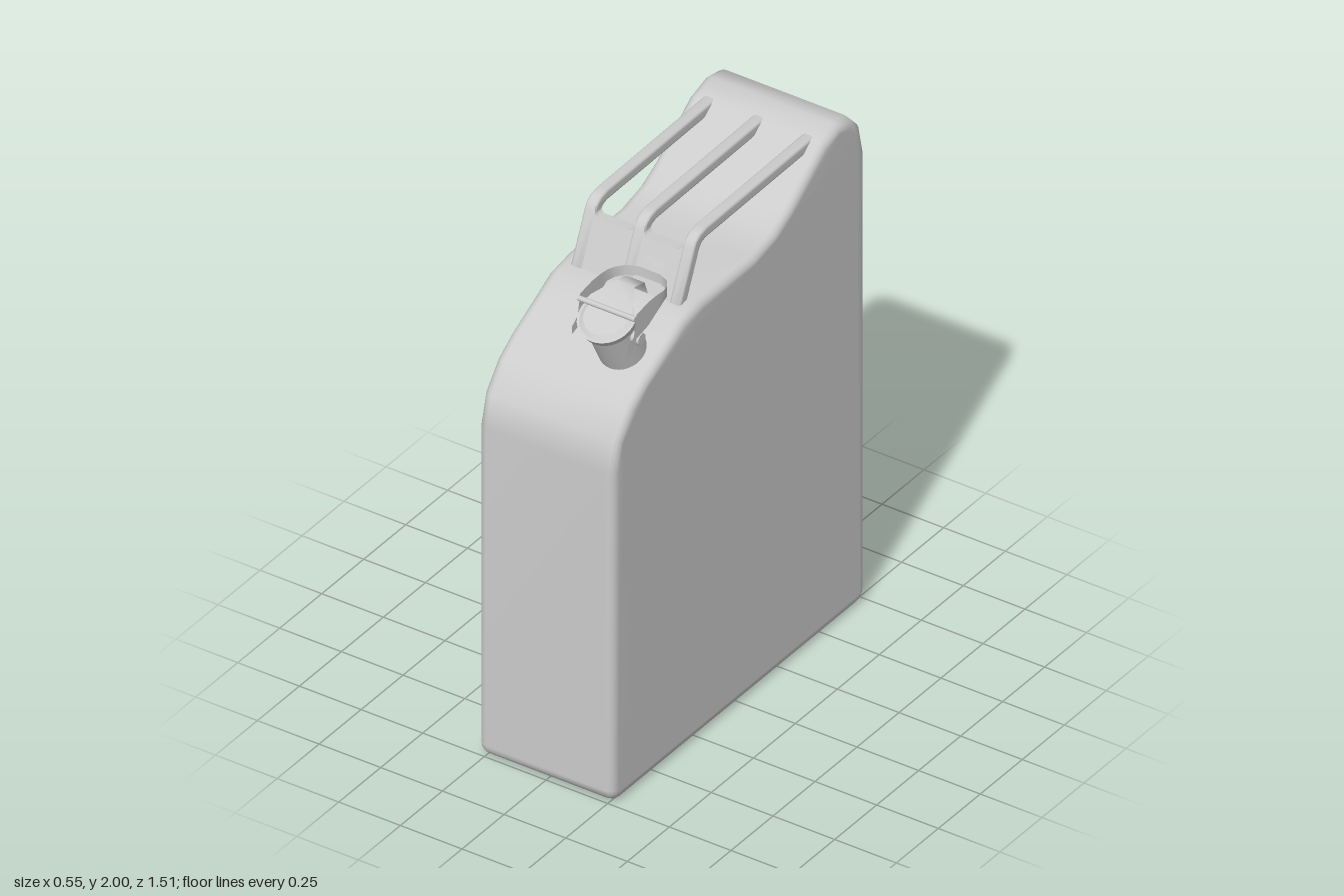
import * as THREE from 'three';
import { mergeVertices } from 'three/addons/utils/BufferGeometryUtils.js';

const material = new THREE.MeshStandardMaterial({ color: 0xcccccc });
const thin = new THREE.MeshStandardMaterial({ color: 0xcccccc, side: THREE.DoubleSide });

function add(parent, name, geometry, mat = material) {
  const mesh = new THREE.Mesh(geometry, mat);
  mesh.name = name;
  parent.add(mesh);
  return mesh;
}

// Side profile of [z, y] points, extruded across x with rounded edges and area-weighted smooth normals
function sideExtrude(points, width, bevel) {
  const shape = new THREE.Shape(points.map(([z, y]) => new THREE.Vector2(z, y)));
  const raw = new THREE.ExtrudeGeometry(shape, {
    depth: width - 2 * bevel, bevelEnabled: true, bevelThickness: bevel,
    bevelSize: bevel, bevelOffset: -bevel, bevelSegments: 4,
  });
  raw.translate(0, 0, bevel - width / 2).rotateY(-Math.PI / 2);
  raw.deleteAttribute('uv');
  raw.deleteAttribute('normal');
  const geometry = mergeVertices(raw, 1e-5);
  geometry.computeVertexNormals();
  return geometry;
}

// Thin sheet through pairs of [x, y, z] edge points
function sheet(pairs) {
  const geometry = new THREE.PlaneGeometry(1, 1, pairs.length - 1, 1);
  const pos = geometry.attributes.position;
  pairs.forEach(([a, b], i) => {
    pos.setXYZ(i, ...a);
    pos.setXYZ(i + pairs.length, ...b);
  });
  geometry.computeVertexNormals();
  return geometry;
}

function createBody(group) {
  const profile = [
    [0.755, 0.05], [0.755, 1.33], [0.725, 1.45], [0.645, 1.55], [0.56, 1.608],
    [0.42, 1.68], [0.33, 1.727], [0.22, 1.745], [-0.09, 1.75], [-0.21, 1.778],
    [-0.3, 1.825], [-0.5, 1.972], [-0.595, 2.0], [-0.675, 1.985], [-0.73, 1.925],
    [-0.755, 1.81], [-0.755, 0.05],
  ];
  // Rounded bottom corners
  const r = 0.05;
  for (const [z, start] of [[-0.705, Math.PI], [0.705, 1.5 * Math.PI]]) {
    for (let i = 0; i <= 4; i++) {
      const a = start + (i / 4) * (Math.PI / 2);
      if ((z < 0 && i === 0) || (z > 0 && i === 4)) continue;
      profile.push([z + r * Math.cos(a), r + r * Math.sin(a)]);
    }
  }
  add(group, 'body', sideExtrude(profile, 0.55, 0.035));
}

function createHandle(group) {
  const handle = new THREE.Group();
  handle.name = 'tripleHandle';
  const bar = [
    [0.283, 1.725], [0.2, 1.918], [0.185, 1.943], [0.16, 1.96], [0.12, 1.968], [-0.56, 1.978],
    [-0.56, 1.934], [0.125, 1.926], [0.147, 1.917], [0.16, 1.9], [0.238, 1.725],
  ];
  for (const x of [-0.2, 0, 0.2]) add(handle, 'handleBar', sideExtrude(bar, 0.045, 0.01)).position.x = x;

  // Sloping front plate with rounded notches between the bars
  const top = 1.935, notch = 1.903, r = 0.025;
  const s = new THREE.Shape();
  s.moveTo(-0.215, 1.725);
  s.lineTo(0.215, 1.725);
  s.lineTo(0.215, top);
  for (const [right, left] of [[0.18, 0.02], [-0.02, -0.18]]) {
    s.lineTo(right, top);
    s.lineTo(right, notch + r);
    s.quadraticCurveTo(right, notch, right - r, notch);
    s.lineTo(left + r, notch);
    s.quadraticCurveTo(left, notch, left, notch + r);
    s.lineTo(left, top);
  }
  s.lineTo(-0.215, top);
  const plate = new THREE.ExtrudeGeometry(s, { depth: 0.04, bevelEnabled: false, curveSegments: 5 });
  const pos = plate.attributes.position;
  for (let i = 0; i < pos.count; i++) pos.setZ(i, pos.getZ(i) + 0.24 - (pos.getY(i) - 1.725) * 0.43);
  plate.computeVertexNormals();
  add(handle, 'handleFrontPlate', plate);
  group.add(handle);
}

function createSpout(group) {
  const spout = new THREE.Group();
  spout.name = 'spout';
  spout.position.x = 0.13;

  // Neck and lid share one tilted axis
  const neck = new THREE.Group();
  neck.name = 'neckAndLid';
  neck.position.set(0, 1.645, 0.485);
  neck.rotation.x = 0.477;
  const tube = new THREE.CylinderGeometry(0.084, 0.084, 0.26, 32);
  add(neck, 'neck', tube).position.y = 0.055;
  add(neck, 'lidRim', new THREE.CylinderGeometry(0.105, 0.098, 0.028, 32)).position.y = 0.19;
  add(neck, 'lidTop', new THREE.CylinderGeometry(0.08, 0.1, 0.012, 32)).position.y = 0.208;
  spout.add(neck);

  // Locking lever: a U-shaped strap, rows of x, z, bottom y, top y
  const half = [
    [0.114, 0.62, 1.735, 1.765], [0.114, 0.585, 1.745, 1.79], [0.114, 0.57, 1.775, 1.872],
    [0.114, 0.5, 1.79, 1.884], [0.114, 0.45, 1.815, 1.884], [0.114, 0.41, 1.835, 1.88],
    [0.105, 0.375, 1.835, 1.876], [0.084, 0.345, 1.835, 1.874], [0.045, 0.325, 1.835, 1.872],
  ];
  const strap = [...half, ...half.map(([x, ...rest]) => [-x, ...rest]).reverse()];
  add(spout, 'lockingLever', sheet(strap.map(([x, z, b, t]) => [[x, t, z], [x, b, z]])), thin);

  // Upturned thumb tab at the rear of the lever
  const across = (w, y, z) => [[-w, y, z], [w, y, z]];
  add(spout, 'thumbTab', sheet([
    across(0.045, 1.838, 0.325), across(0.045, 1.87, 0.313), across(0.038, 1.905, 0.295),
  ]), thin);

  // Tapering hasp over the lid
  add(spout, 'lidHasp', sheet([
    across(0.095, 1.855, 0.58), across(0.085, 1.87, 0.55), across(0.038, 1.9, 0.47),
    across(0.038, 1.885, 0.41), across(0.038, 1.83, 0.39),
  ]), thin);

  // Hinge pin and side lugs
  const pin = new THREE.CylinderGeometry(0.01, 0.01, 0.23, 12).rotateZ(Math.PI / 2);
  add(spout, 'hingePin', pin).position.set(0, 1.858, 0.577);
  for (const side of [-1, 1]) {
    const lug = new THREE.CylinderGeometry(0.022, 0.022, 0.036, 14).rotateZ(Math.PI / 2);
    add(spout, 'sideLug', lug).position.set(side * 0.098, 1.757, 0.54);
  }
  group.add(spout);
}

export function createModel() {
  const model = new THREE.Group();
  model.name = 'fuelCan';
  createBody(model);
  createHandle(model);
  createSpout(model);
  return model;
}
